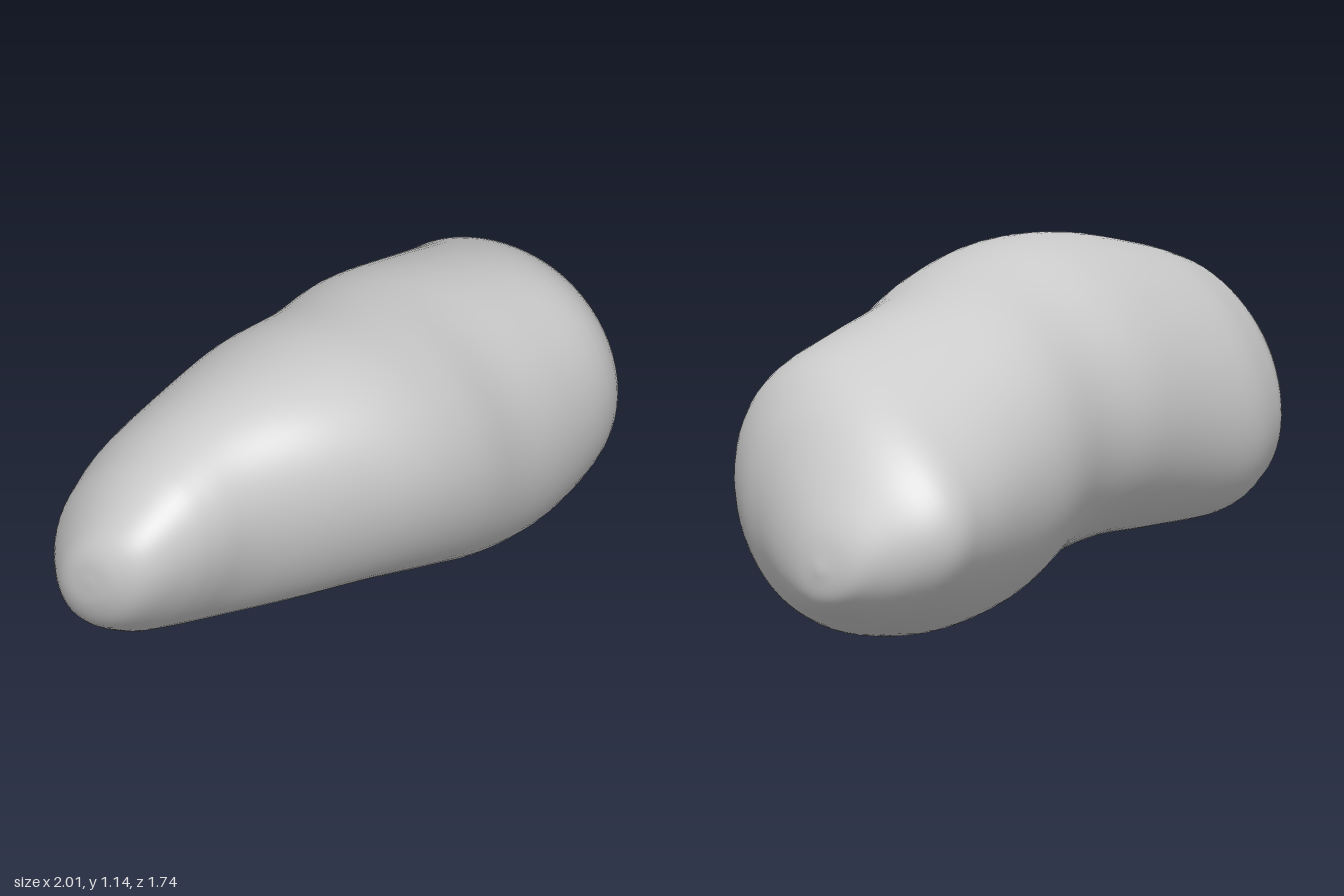
import * as THREE from 'three';
import { mergeVertices } from 'three/addons/utils/BufferGeometryUtils.js';

// Cross-sections along the body's long axis:
// distance, centre height, half height, back side, front side, lean of the oval
const SECTIONS = [
  [-1.214, 0.69, 0.0, 0.07, 0.07, 0.36],
  [-1.2, 0.685, 0.11, -0.035, 0.168, 0.36],
  [-1.14, 0.675, 0.208, -0.118, 0.257, 0.37],
  [-1.0, 0.664, 0.322, -0.245, 0.325, 0.38],
  [-0.9, 0.658, 0.372, -0.298, 0.358, 0.37],
  [-0.75, 0.656, 0.42, -0.335, 0.405, 0.33],
  [-0.5, 0.676, 0.457, -0.337, 0.548, 0.25],
  [-0.25, 0.673, 0.468, -0.336, 0.648, 0.16],
  [0.0, 0.621, 0.478, -0.32, 0.673, 0.08],
  [0.25, 0.541, 0.502, -0.36, 0.643, 0.03],
  [0.5, 0.488, 0.488, -0.378, 0.622, 0.05],
  [0.75, 0.458, 0.43, -0.405, 0.578, 0.11],
  [0.9, 0.424, 0.356, -0.417, 0.455, 0.08],
  [1.0, 0.388, 0.276, -0.36, 0.31, 0.04],
  [1.08, 0.343, 0.192, -0.255, 0.18, 0.0],
  [1.132, 0.307, 0.108, -0.155, 0.065, 0.0],
  [1.152, 0.292, 0.0, -0.04, -0.04, 0.0],
];

// Angle of the long axis across the ground
const HEADING = THREE.MathUtils.degToRad(35);

// Smooth curve through three columns of the section table
const columns = (a) => new THREE.CatmullRomCurve3(
  SECTIONS.map((s) => new THREE.Vector3(s[a], s[a + 1], s[a + 2])), false, 'catmullrom', 0.5);

// Closed skin of leaning oval rings lofted through the sections
function loftBody(rings, sides) {
  const heights = columns(0), widths = columns(3);
  const positions = [], index = [];
  for (let i = 0; i <= rings; i++) {
    const { x: along, y: centre, z: half } = heights.getPoint(i / rings);
    const { x: back, y: front, z: lean } = widths.getPoint(i / rings);
    // the low end is egg-shaped, slimmer toward the back
    const egg = 0.12 * THREE.MathUtils.smoothstep(along, 0.2, 0.8);
    for (let j = 0; j < sides; j++) {
      const t = (j / sides) * Math.PI * 2;
      positions.push(
        along,
        centre + half * Math.sin(t) * (1 + egg * Math.cos(t)),
        (back + front) / 2 + ((front - back) / 2) * Math.cos(t - lean));
    }
  }
  for (let i = 0; i < rings; i++) {
    for (let j = 0; j < sides; j++) {
      const a = i * sides + j, b = i * sides + ((j + 1) % sides);
      const c = a + sides, d = b + sides;
      // the end rings shrink to a point, so they need one triangle per side
      if (i < rings - 1) index.push(c, d, b);
      if (i > 0) index.push(a, c, b);
    }
  }
  const geometry = new THREE.BufferGeometry();
  geometry.setAttribute('position', new THREE.Float32BufferAttribute(positions, 3));
  geometry.setIndex(index);
  const welded = mergeVertices(geometry, 1e-5);
  welded.rotateY(HEADING);
  welded.computeVertexNormals();
  return welded;
}

export function createModel() {
  const group = new THREE.Group();
  group.name = 'bentPebble';
  const body = new THREE.Mesh(
    loftBody(80, 64), new THREE.MeshStandardMaterial({ color: 0xcccccc }));
  body.name = 'body';
  group.add(body);
  return group;
}
